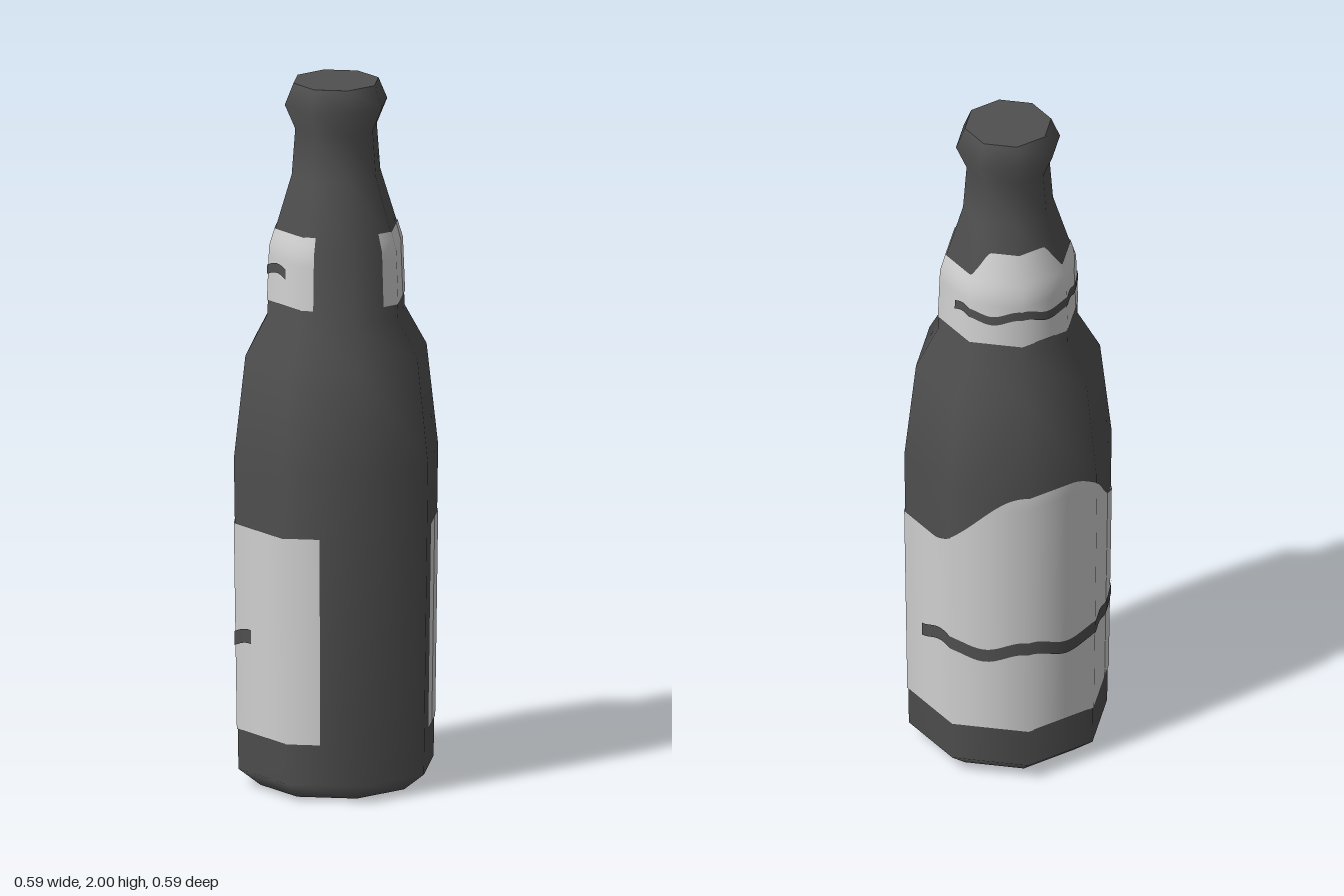
import * as THREE from 'three';

// Bottle outline: [radius at the corners, height]
const PROFILE = [
  [0.217, 0], [0.28, 0.05], [0.293, 0.94], [0.26, 1.23], [0.197, 1.345],
  [0.189, 1.54], [0.127, 1.74], [0.117, 1.87], [0.147, 1.94], [0.122, 2],
];
const SIDES = 8;
const rad = THREE.MathUtils.degToRad;

function radiusAt(y) {
  for (let i = 1; i < PROFILE.length; i++) {
    const [r0, y0] = PROFILE[i - 1], [r1, y1] = PROFILE[i];
    if (y <= y1) return r0 + (r1 - r0) * (y - y0) / (y1 - y0);
  }
  return PROFILE[PROFILE.length - 1][0];
}

// Point on the eight-sided wall, lifted outwards; angle in degrees from +x towards +z
function wallPoint(angle, y, lift) {
  const step = 360 / SIDES;
  const within = ((angle % step) + step) % step - step / 2;
  const r = radiusAt(y) * Math.cos(rad(step / 2)) / Math.cos(rad(within)) + lift;
  return [r * Math.cos(rad(angle)), y, r * Math.sin(rad(angle))];
}

// Thin sheet that follows the wall between two outlines
function wrap(name, material, from, to, low, high, lift) {
  const cols = Math.round((to - from) / 2.5), rows = 20;
  const pos = [], nor = [], idx = [];
  for (let c = 0; c <= cols; c++) {
    const a = from + (to - from) * c / cols;
    for (let r = 0; r <= rows; r++) {
      const y = low(a) + (high(a) - low(a)) * r / rows;
      pos.push(...wallPoint(a, y, lift));
      const slope = (radiusAt(y - 0.03) - radiusAt(y + 0.03)) / 0.06;
      nor.push(...new THREE.Vector3(Math.cos(rad(a)), slope, Math.sin(rad(a))).normalize().toArray());
      if (c < cols && r < rows) {
        const i = c * (rows + 1) + r, j = i + rows + 1;
        idx.push(i, i + 1, j, j, i + 1, j + 1);
      }
    }
  }
  const g = new THREE.BufferGeometry();
  g.setAttribute('position', new THREE.Float32BufferAttribute(pos, 3));
  g.setAttribute('normal', new THREE.Float32BufferAttribute(nor, 3));
  g.setIndex(idx);
  const mesh = new THREE.Mesh(g, material);
  mesh.name = name;
  return mesh;
}

// Label top: straight at the sides, raised in a hump around a middle angle
const hump = (middle, halfWidth, ramp, base, rise) => (a) => {
  const t = (halfWidth - Math.abs(a - middle)) / ramp;
  return base + rise * THREE.MathUtils.smoothstep(t, 0, 1);
};

export function createModel() {
  const group = new THREE.Group();
  group.name = 'bottle';
  const glass = new THREE.MeshStandardMaterial({ color: 0x505050 });
  glass.name = 'dark glass';
  const paper = new THREE.MeshStandardMaterial({ color: 0xd0d0d0, side: THREE.DoubleSide });
  paper.name = 'label paper';

  // Bottle wall
  const wall = new THREE.Mesh(
    new THREE.LatheGeometry(PROFILE.map(([r, y]) => new THREE.Vector2(r, y)), SIDES), glass);
  wall.name = 'bottleWall';
  group.add(wall);

  // Flat cap and base
  for (const [name, r, y, turn] of [['cap', 0.122, 2, -1], ['base', 0.217, 0, 1]]) {
    const disc = new THREE.Mesh(new THREE.CircleGeometry(r, SIDES), glass);
    disc.rotation.x = turn * Math.PI / 2;
    disc.position.y = y;
    disc.name = name;
    group.add(disc);
  }

  // Labels wrapped round the back
  group.add(wrap('bodyLabel', paper, -245, 35, () => 0.165, hump(-105, 76, 62, 0.755, 0.19), 0.003));
  group.add(wrap('neckLabel', paper, -235, 60, () => 1.385, hump(-90, 50, 20, 1.59, 0.07), 0.003));

  // Plain wavy stripes on the labels
  const wave = (mid, height) => (a) => mid + height * Math.sin(rad(a * 7));
  group.add(wrap('bodyStripe', glass, -195, -17, wave(0.405, 0.018), wave(0.445, 0.018), 0.006));
  group.add(wrap('neckStripe', glass, -205, -25, wave(1.46, 0.012), wave(1.487, 0.012), 0.006));
  return group;
}
